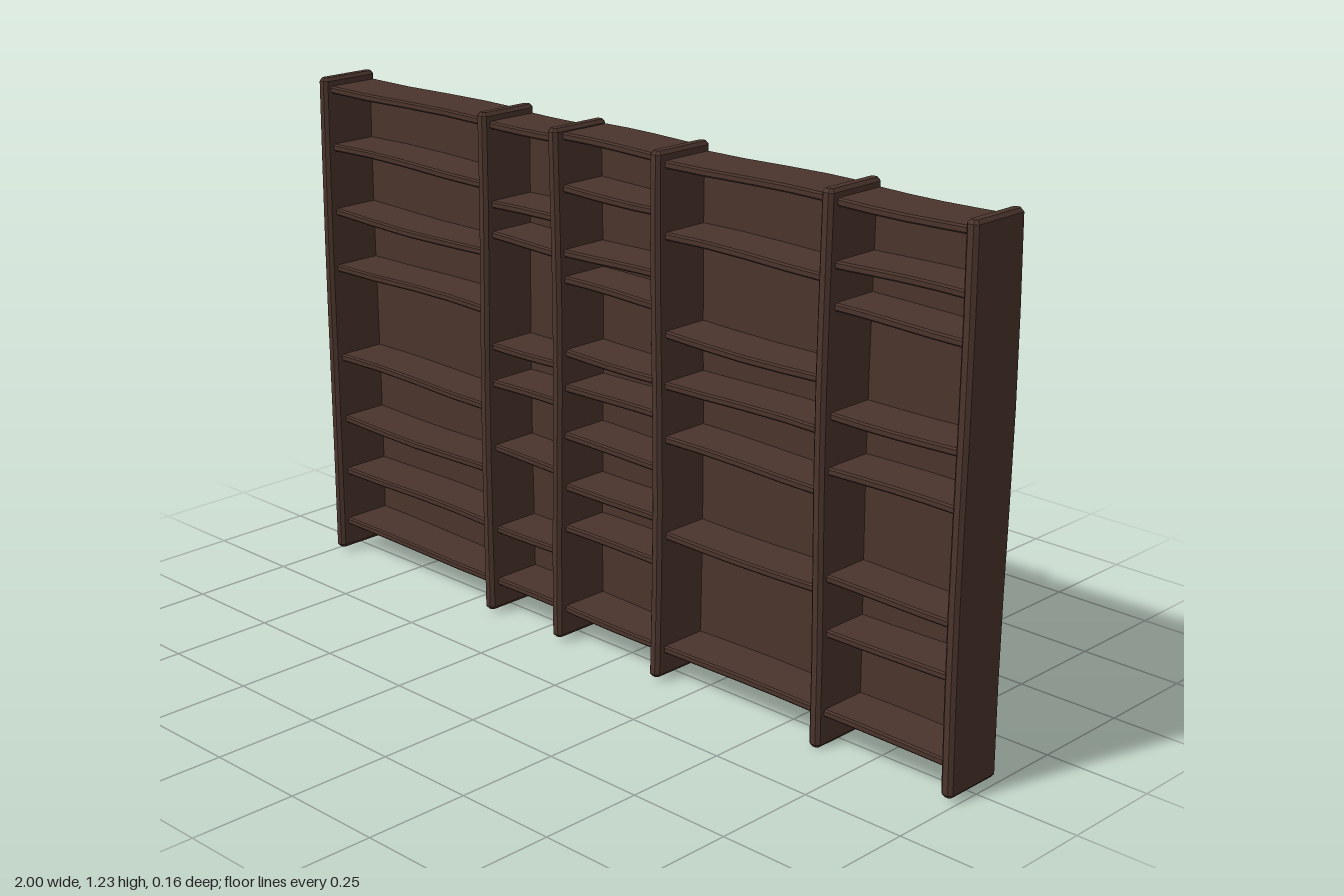
import * as THREE from 'three';

const wood = new THREE.MeshStandardMaterial({ color: 0x4a342c, flatShading: true });
wood.name = 'dark brown wood';

// Chamfered plank of width w and depth d, extruded along z and centred
function plank(w, d, length, c, steps) {
  const a = w / 2, b = d / 2;
  const s = new THREE.Shape([
    [-a + c, -b], [a - c, -b], [a, -b + c], [a, b - c],
    [a - c, b], [-a + c, b], [-a, b - c], [-a, -b + c],
  ].map(p => new THREE.Vector2(...p)));
  const g = new THREE.ExtrudeGeometry(s, {
    depth: length - 2 * c, steps, bevelEnabled: true, bevelSegments: 1,
    bevelSize: c * 0.8, bevelThickness: c, bevelOffset: -c * 0.8,
  });
  return g.translate(0, 0, c - length / 2);
}

// Gentle hand-hewn unevenness along a plank
function warp(g, rule) {
  const p = g.attributes.position, v = new THREE.Vector3();
  for (let i = 0; i < p.count; i++) {
    v.fromBufferAttribute(p, i);
    rule(v);
    p.setXYZ(i, v.x, v.y, v.z);
  }
  g.computeVertexNormals();
  return g;
}

export function createModel() {
  const group = new THREE.Group();
  const add = (name, geometry) => {
    const m = new THREE.Mesh(geometry, wood);
    m.name = name;
    group.add(m);
  };

  // Uprights: x, bottom, top
  const posts = [
    [-0.982, 0.015, 1.238], [-0.412, 0.015, 1.238], [-0.172, 0.015, 1.238],
    [0.145, 0.015, 1.238], [0.618, 0.005, 1.238], [0.978, 0.015, 1.238],
  ];
  posts.forEach(([x, y0, y1], i) => {
    const g = plank(0.03, 0.16, y1 - y0, 0.008, 6);
    g.rotateX(-Math.PI / 2).translate(x, (y0 + y1) / 2, 0);
    add('upright', warp(g, v => {
      v.x += 0.003 * Math.sin(v.y * 5 + i * 1.9);
      v.z *= 1 + 0.03 * Math.sin(v.y * 4 + i);
    }));
  });

  // Shelf heights of each bay, top board first and bottom board last
  const bays = [
    [1.21, 1.065, 0.9, 0.762, 0.525, 0.362, 0.225, 0.083],
    [1.21, 1.023, 0.947, 0.682, 0.587, 0.425, 0.222, 0.083],
    [1.217, 1.1, 0.955, 0.887, 0.718, 0.635, 0.515, 0.393, 0.287, 0.083],
    [1.21, 1.048, 0.827, 0.715, 0.585, 0.36, 0.083],
    [1.21, 1.08, 0.987, 0.757, 0.635, 0.393, 0.272, 0.083],
  ];
  bays.forEach((heights, i) => {
    const x0 = posts[i][0], x1 = posts[i + 1][0];
    const mid = (x0 + x1) / 2, length = x1 - x0;
    heights.forEach((y, k) => {
      const g = plank(0.138, 0.018, length - 0.01, 0.004, 4);
      g.rotateY(Math.PI / 2).translate(mid, y, -0.01);
      add('shelf', warp(g, v => {
        v.y += 0.003 * Math.sin(v.x * 9 + k * 2.3 + i);
        v.z += 0.002 * Math.sin(v.x * 11 + k * 1.7);
      }));
    });

    // Back panel, slightly inset behind the shelves
    const panel = new THREE.BoxGeometry(length, 1.127, 0.012);
    add('backPanel', panel.translate(mid, 0.6465, -0.068));
  });
  return group;
}
